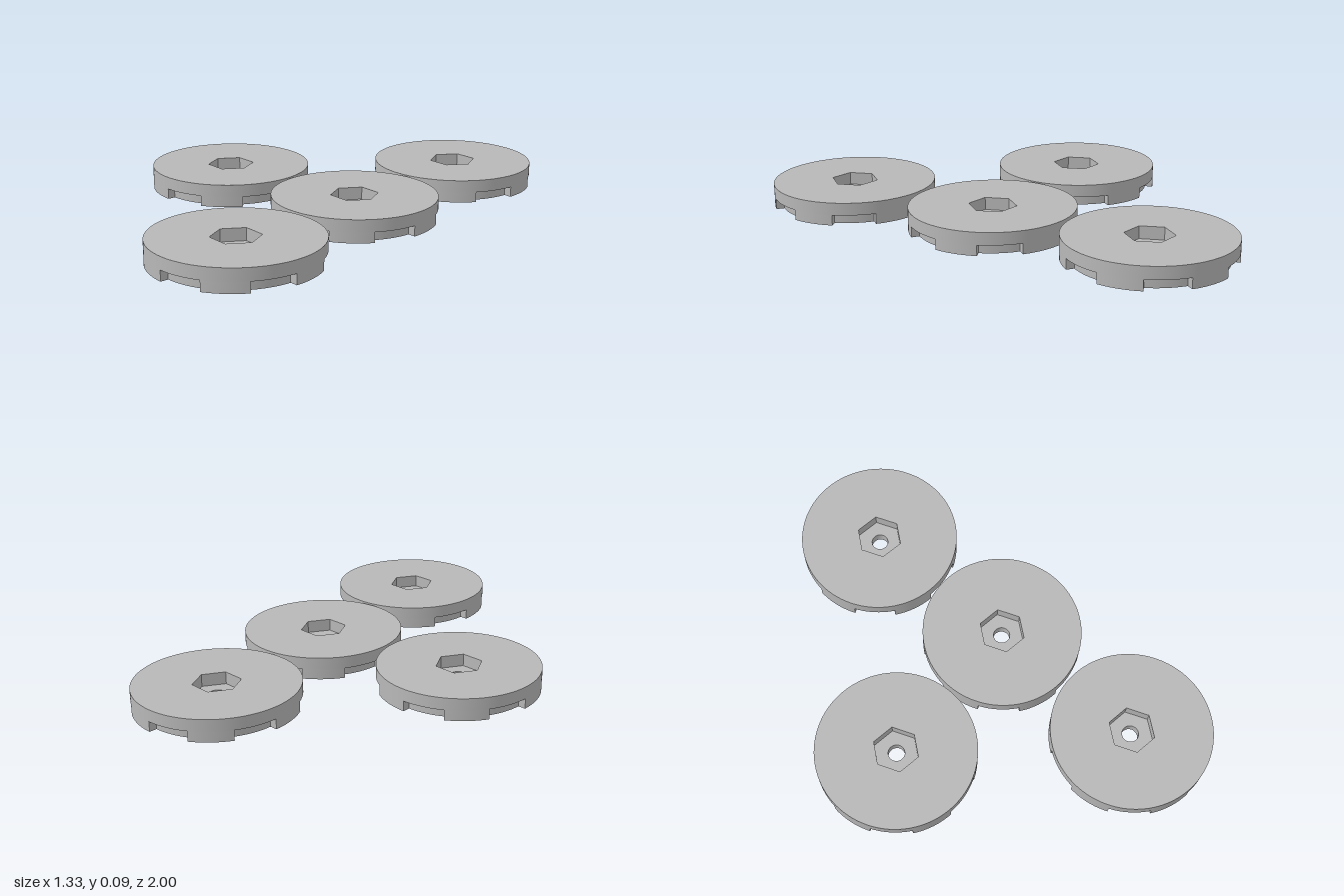
import * as THREE from 'three';
import { mergeGeometries, toCreasedNormals } from 'three/addons/utils/BufferGeometryUtils.js';

const R = 0.328, NOTCH_R = 0.296, HEX_R = 0.095, HOLE_R = 0.034;
const TOP = 0.092, SHELF = 0.042;
const START = -7.9, NOTCH = 30, HEX_START = 20.5;

// Points on an arc, degrees measured from +z towards +x
function arc(r, from, to, step) {
  const n = Math.round((to - from) / step), pts = [];
  for (let i = 0; i <= n; i++) {
    const a = THREE.MathUtils.degToRad(from + ((to - from) * i) / n);
    pts.push(new THREE.Vector2(r * Math.sin(a), -r * Math.cos(a)));
  }
  return pts;
}
const ring = (r, from, step) => arc(r, from, from + 360 - step, step);

// Horizontal face at height y, facing up or down
function cap(outline, y, up, hole) {
  const shape = new THREE.Shape(outline);
  if (hole) shape.holes.push(new THREE.Path(hole));
  const g = new THREE.ShapeGeometry(shape);
  g.rotateX(-Math.PI / 2).translate(0, y, 0);
  if (!up) {
    const ix = g.index.array;
    for (let i = 0; i < ix.length; i += 3) [ix[i + 1], ix[i + 2]] = [ix[i + 2], ix[i + 1]];
  }
  return finish(g);
}

// Vertical wall around a closed outline; inward for holes
function wall(outline, y0, y1, inward) {
  const pts = inward ? [...outline].reverse() : outline;
  const pos = [];
  pts.forEach((a, i) => {
    const b = pts[(i + 1) % pts.length];
    const quad = [[a, y0], [b, y0], [b, y1], [a, y0], [b, y1], [a, y1]];
    for (const [p, y] of quad) pos.push(p.x, y, -p.y);
  });
  const g = new THREE.BufferGeometry();
  g.setAttribute('position', new THREE.Float32BufferAttribute(pos, 3));
  return finish(g);
}

function finish(g) {
  const out = g.index ? g.toNonIndexed() : g;
  out.deleteAttribute('uv');
  out.computeVertexNormals();
  return out;
}

export function createModel() {
  const grey = new THREE.MeshStandardMaterial({ color: 0xb8b8b8 });
  grey.name = 'grey';

  const circle = ring(R, START, 3);
  const hex = ring(HEX_R, HEX_START, 60);
  const hole = ring(HOLE_R, 0, 15);

  // Notched lower outline and the ceilings of its six notches
  const notched = [], ceilings = [];
  for (let i = 0; i < 6; i++) {
    const a = START + i * 60, b = a + NOTCH;
    const inner = arc(NOTCH_R, a, b, 3);
    notched.push(...inner, ...arc(R, b, a + 60, 3));
    ceilings.push(cap([...arc(R, a, b, 3), ...inner.reverse()], SHELF, false));
  }

  const part = (pieces) => toCreasedNormals(mergeGeometries(pieces), 0.5);
  const parts = {
    upperDisc: part([cap(circle, TOP, true, hex), wall(circle, SHELF, TOP), ...ceilings]),
    notchedBase: part([cap(notched, 0, false, hole), wall(notched, 0, SHELF)]),
    hexSocket: part([wall(hex, SHELF, TOP, true), cap(hex, SHELF, true, hole)]),
    centreHole: part([wall(hole, 0, SHELF, true)]),
  };

  // Four identical discs in a T layout
  const model = new THREE.Group();
  model.name = 'notchedDiscs';
  [[-0.336, 0], [0.334, 0], [0.334, -0.672], [0.334, 0.672]].forEach(([x, z], i) => {
    const disc = new THREE.Group();
    disc.name = `disc${i + 1}`;
    for (const [name, geometry] of Object.entries(parts)) {
      const mesh = new THREE.Mesh(geometry, grey);
      mesh.name = name;
      disc.add(mesh);
    }
    disc.position.set(x, 0, z);
    model.add(disc);
  });
  return model;
}
